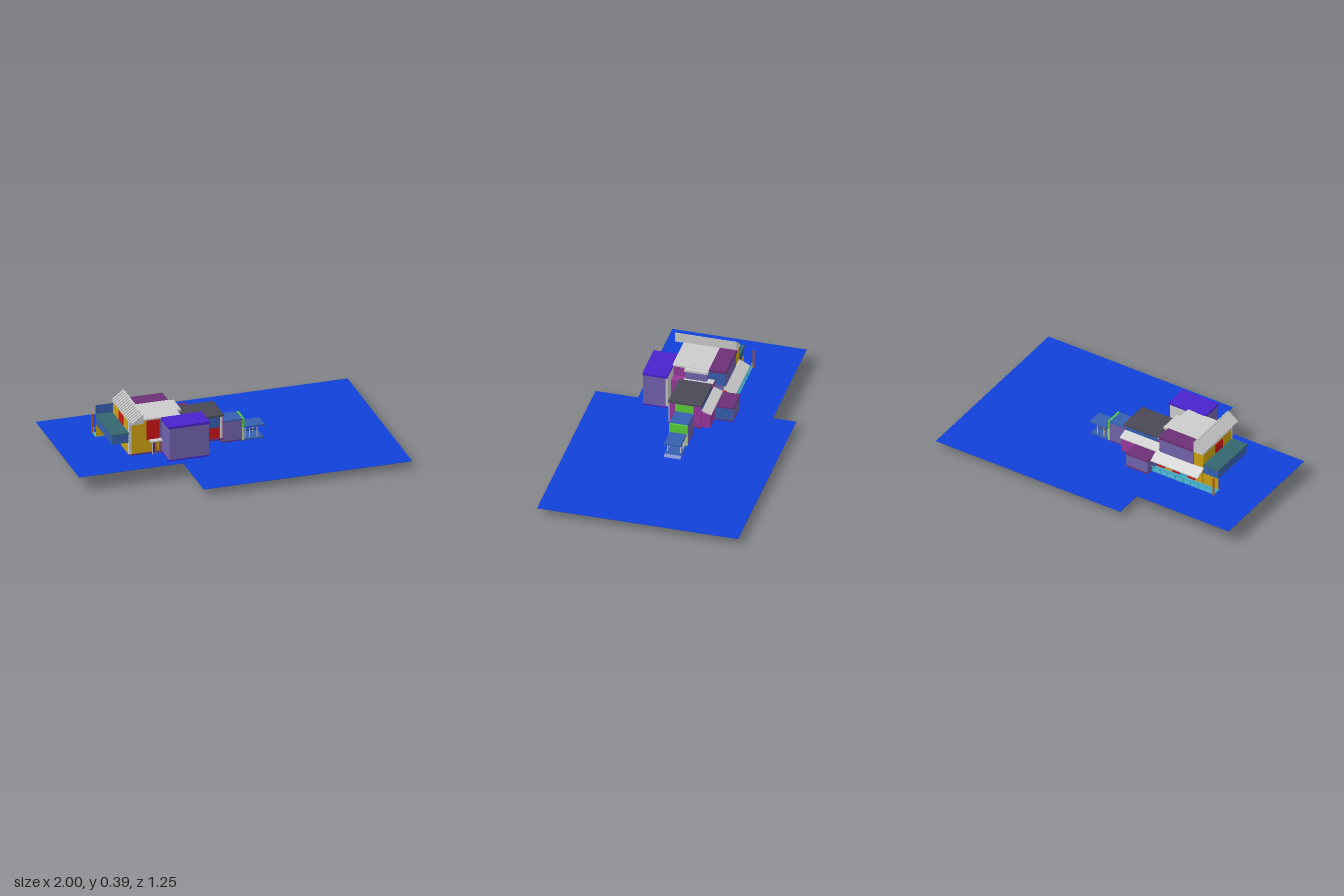
import * as THREE from 'three';

const C = {
  ground: 0x1040d8, lavender: 0x7062ab, violet: 0x4a22cc, magenta: 0x99389b, plum: 0x6c3074,
  blue: 0x365fae, teal: 0x35666f, cyan: 0x45aac6, yellow: 0xcca010, red: 0xcc1414,
  green: 0x58cc38, slate: 0x4a4856, brown: 0xb4541c, paleGreen: 0xa8cc90, grey: 0xcccccc, dark: 0x5c2c58,
};
const mats = {};
const mat = (c) => (mats[c] ??= new THREE.MeshStandardMaterial({ color: C[c], flatShading: true, side: THREE.DoubleSide }));

export function createModel() {
  const root = new THREE.Group();
  let parent = root;
  const part = (name) => {
    parent = new THREE.Group();
    parent.name = name;
    root.add(parent);
  };
  // Box given by its limits along each axis
  const box = (name, color, x0, x1, y0, y1, z0, z1) => {
    const m = new THREE.Mesh(new THREE.BoxGeometry(x1 - x0, y1 - y0, z1 - z0), mat(color));
    m.position.set((x0 + x1) / 2, (y0 + y1) / 2, (z0 + z1) / 2);
    m.name = name;
    parent.add(m);
    return m;
  };
  // Profile in (x, y) extruded from z0 to z1
  const prismZ = (name, color, pts, z0, z1) => {
    const s = new THREE.Shape(pts.map((p) => new THREE.Vector2(...p)));
    const g = new THREE.ExtrudeGeometry(s, { depth: z1 - z0, bevelEnabled: false });
    const m = new THREE.Mesh(g.translate(0, 0, z0), mat(color));
    m.name = name;
    parent.add(m);
  };
  // Profile in (z, y) extruded from x0 to x1
  const prismX = (name, color, pts, x0, x1) => {
    const s = new THREE.Shape(pts.map(([z, y]) => new THREE.Vector2(-z, y)));
    const g = new THREE.ExtrudeGeometry(s, { depth: x1 - x0, bevelEnabled: false });
    const m = new THREE.Mesh(g.rotateY(Math.PI / 2).translate(x0, 0, 0), mat(color));
    m.name = name;
    parent.add(m);
  };

  // Two ground sheets at different levels
  part('ground');
  box('lowerGround', 'ground', -0.31, 1, 0.043, 0.045, -0.625, 0.62);
  box('upperGround', 'ground', -1, -0.13, 0.096, 0.098, -0.5, 0.335);

  // Main house
  part('mainHouse');
  box('mainBody', 'lavender', -0.615, -0.31, 0.097, 0.315, -0.085, 0.13);
  box('backBody', 'lavender', -0.615, -0.31, 0.097, 0.22, -0.18, -0.085);
  box('mainRoof', 'grey', -0.62, -0.3, 0.315, 0.325, -0.085, 0.14);
  box('mainRoofBack', 'grey', -0.62, -0.55, 0.315, 0.325, -0.19, -0.085);
  box('mainFloor', 'brown', -0.65, -0.39, 0.094, 0.1, -0.13, -0.08);
  box('cornerPost', 'grey', -0.62, -0.605, 0.1, 0.315, 0.115, 0.135);
  box('frontYellowWall', 'yellow', -0.605, -0.51, 0.1, 0.315, 0.128, 0.134);
  box('frontRedWall', 'red', -0.51, -0.43, 0.185, 0.315, 0.128, 0.134);
  box('frontLowerWall', 'yellow', -0.51, -0.43, 0.1, 0.185, 0.128, 0.134);
  box('westWall', 'yellow', -0.62, -0.612, 0.1, 0.315, -0.18, 0.115);
  box('westRedPanel', 'red', -0.624, -0.618, 0.25, 0.31, -0.06, 0.02);
  box('eastMagentaWall', 'magenta', -0.312, -0.304, 0.1, 0.315, 0.05, 0.135);
  box('frontTrim', 'plum', -0.62, -0.42, 0.098, 0.106, 0.12, 0.137);

  // Upper back room
  part('upperBackRoom');
  box('backRoomWalls', 'lavender', -0.55, -0.312, 0.21, 0.312, -0.186, -0.08);
  box('backRoomEastWall', 'blue', -0.313, -0.308, 0.225, 0.308, -0.186, -0.08);
  box('backRoomWestWall', 'yellow', -0.615, -0.55, 0.21, 0.315, -0.184, -0.08);
  box('backRoomRoof', 'plum', -0.55, -0.305, 0.31, 0.327, -0.19, -0.085);

  // Entry porch at the front
  part('entryPorch');
  box('entryCanopy', 'grey', -0.495, -0.42, 0.18, 0.187, 0.13, 0.168);
  for (const x of [-0.485, -0.465, -0.44]) box('entryPost', x < -0.48 ? 'grey' : 'brown', x, x + 0.007, 0.1, 0.18, 0.155, 0.162);
  box('entryDoor', 'dark', -0.478, -0.45, 0.1, 0.17, 0.133, 0.137);

  // Louvred roof screen: upright sheet with sloping fins behind it
  part('roofScreen');
  box('screenSheet', 'grey', -0.555, -0.55, 0.322, 0.383, -0.187, 0.193);
  const fins = 15;
  for (let i = 0; i < fins; i++) {
    const z = -0.187 + (i * 0.366) / (fins - 1);
    prismZ('screenFin', 'grey', [[-0.62, 0.323], [-0.55, 0.323], [-0.55, 0.386], [-0.62, 0.334]], z, z + 0.014);
  }

  // Front tower
  part('frontTower');
  box('towerWalls', 'lavender', -0.418, -0.168, 0.105, 0.311, 0.15, 0.287);
  box('towerBackWall', 'grey', -0.41, -0.175, 0.1, 0.315, 0.137, 0.15);
  box('towerRoof', 'violet', -0.422, -0.165, 0.31, 0.325, 0.136, 0.29);
  box('towerBase', 'violet', -0.42, -0.167, 0.097, 0.107, 0.14, 0.288);

  // Middle link between house and east wing
  part('middleLink');
  box('linkWalls', 'magenta', -0.32, -0.25, 0.1, 0.25, -0.12, 0.135);
  box('linkRoof', 'grey', -0.32, -0.25, 0.25, 0.257, -0.12, 0.06);
  box('linkUpper', 'lavender', -0.31, -0.275, 0.25, 0.31, -0.08, 0.055);
  box('linkUpperRoof', 'grey', -0.312, -0.27, 0.308, 0.322, -0.085, 0.06);

  // East wing
  part('eastWing');
  box('wingWalls', 'magenta', -0.25, -0.012, 0.1, 0.25, -0.115, 0.08);
  box('wingRoof', 'slate', -0.257, -0.008, 0.25, 0.26, -0.12, 0.088);
  box('wingBase', 'plum', -0.25, -0.01, 0.097, 0.108, -0.116, 0.085);
  box('wingBlueBand', 'blue', -0.25, -0.03, 0.18, 0.25, 0.079, 0.085);
  box('wingRedPanel', 'red', -0.155, -0.04, 0.112, 0.18, 0.079, 0.084);
  box('wingGreyPost', 'grey', -0.032, -0.018, 0.108, 0.25, 0.079, 0.086);
  box('wingEndPanel', 'green', -0.013, -0.008, 0.19, 0.246, -0.07, 0.045);
  box('wingBackBand', 'blue', -0.25, -0.02, 0.215, 0.25, -0.12, -0.114);

  // Lean-to along the back of the wing
  part('wingLeanTo');
  box('leanToWalls', 'magenta', -0.25, -0.025, 0.1, 0.195, -0.168, -0.115);
  prismX('leanToRoof', 'grey', [[-0.178, 0.195], [-0.115, 0.218], [-0.115, 0.226], [-0.178, 0.202]], -0.285, -0.02);

  // Back annex
  part('backAnnex');
  box('annexWalls', 'lavender', -0.282, -0.133, 0.105, 0.188, -0.28, -0.175);
  box('annexEastWall', 'blue', -0.135, -0.13, 0.106, 0.187, -0.279, -0.172);
  box('annexRoof', 'plum', -0.286, -0.129, 0.187, 0.197, -0.285, -0.17);
  box('annexBase', 'plum', -0.284, -0.13, 0.097, 0.106, -0.283, -0.172);

  // Back porch with awning, panels and low fence
  part('backPorch');
  box('porchFloor', 'cyan', -0.73, -0.285, 0.094, 0.104, -0.24, -0.18);
  prismX('awning', 'grey', [[-0.252, 0.177], [-0.18, 0.212], [-0.18, 0.22], [-0.252, 0.184]], -0.62, -0.285);
  ['yellow', 'red', 'cyan', 'red', 'yellow', 'red'].forEach((c, i) => {
    const x = -0.615 + i * 0.055;
    box('porchPanel', c, x, x + 0.05, 0.104, 0.195, -0.187, -0.18);
  });
  box('fenceRail', 'cyan', -0.73, -0.285, 0.128, 0.135, -0.24, -0.236);
  for (let i = 0; i < 9; i++) box('fencePost', 'cyan', -0.725 + i * 0.054, -0.719 + i * 0.054, 0.104, 0.13, -0.24, -0.236);
  box('cornerPole', 'brown', -0.734, -0.724, 0, 0.222, -0.25, -0.24);

  // Covered bay on the west side, open underneath
  part('westBay');
  box('bayWalls', 'blue', -0.725, -0.618, 0.18, 0.238, -0.185, 0.125);
  box('bayRoof', 'teal', -0.73, -0.618, 0.237, 0.246, -0.19, 0.13);
  box('bayLowerWall', 'yellow', -0.725, -0.62, 0.1, 0.18, -0.187, -0.182);
  const screen = new THREE.Mesh(new THREE.PlaneGeometry(0.11, 0.06),
    new THREE.MeshStandardMaterial({ color: C.blue }));
  screen.name = 'bayScreen';
  screen.position.set(-0.673, 0.274, -0.188);
  parent.add(screen);

  // Tunnel at the east end
  part('tunnel');
  box('tunnelFrontWall', 'lavender', -0.01, 0.122, 0.06, 0.188, 0.03, 0.038);
  box('tunnelBackWall', 'lavender', -0.01, 0.122, 0.06, 0.188, -0.07, -0.062);
  box('tunnelInnerWall', 'dark', 0.02, 0.028, 0.06, 0.188, -0.062, 0.03);
  box('tunnelFloor', 'plum', -0.01, 0.13, 0.054, 0.061, -0.07, 0.038);
  box('tunnelRoof', 'blue', -0.01, 0.123, 0.187, 0.196, -0.072, 0.042);
  box('portalHead', 'green', 0.121, 0.134, 0.14, 0.196, -0.072, 0.042);
  for (const z of [-0.072, 0.022]) box('portalJamb', 'paleGreen', 0.121, 0.133, 0.056, 0.14, z, z + 0.02);

  // Canopy, deck and slide
  part('deckAndSlide');
  box('deckCanopy', 'blue', 0.125, 0.265, 0.13, 0.139, -0.066, 0.037);
  box('deckFloor', 'blue', 0.11, 0.25, 0.049, 0.059, -0.066, 0.037);
  for (const z of [-0.058, 0.024]) {
    for (const x of [0.14, 0.168, 0.215]) box('deckPost', 'grey', x, x + 0.006, 0.058, 0.131, z, z + 0.006);
    box('deckRail', 'slate', 0.134, 0.22, 0.107, 0.113, z, z + 0.005);
  }
  prismZ('slide', 'blue', [[0.245, 0.049], [0.292, 0.013], [0.296, 0.022], [0.25, 0.059]], -0.066, 0.037);

  return root;
}
